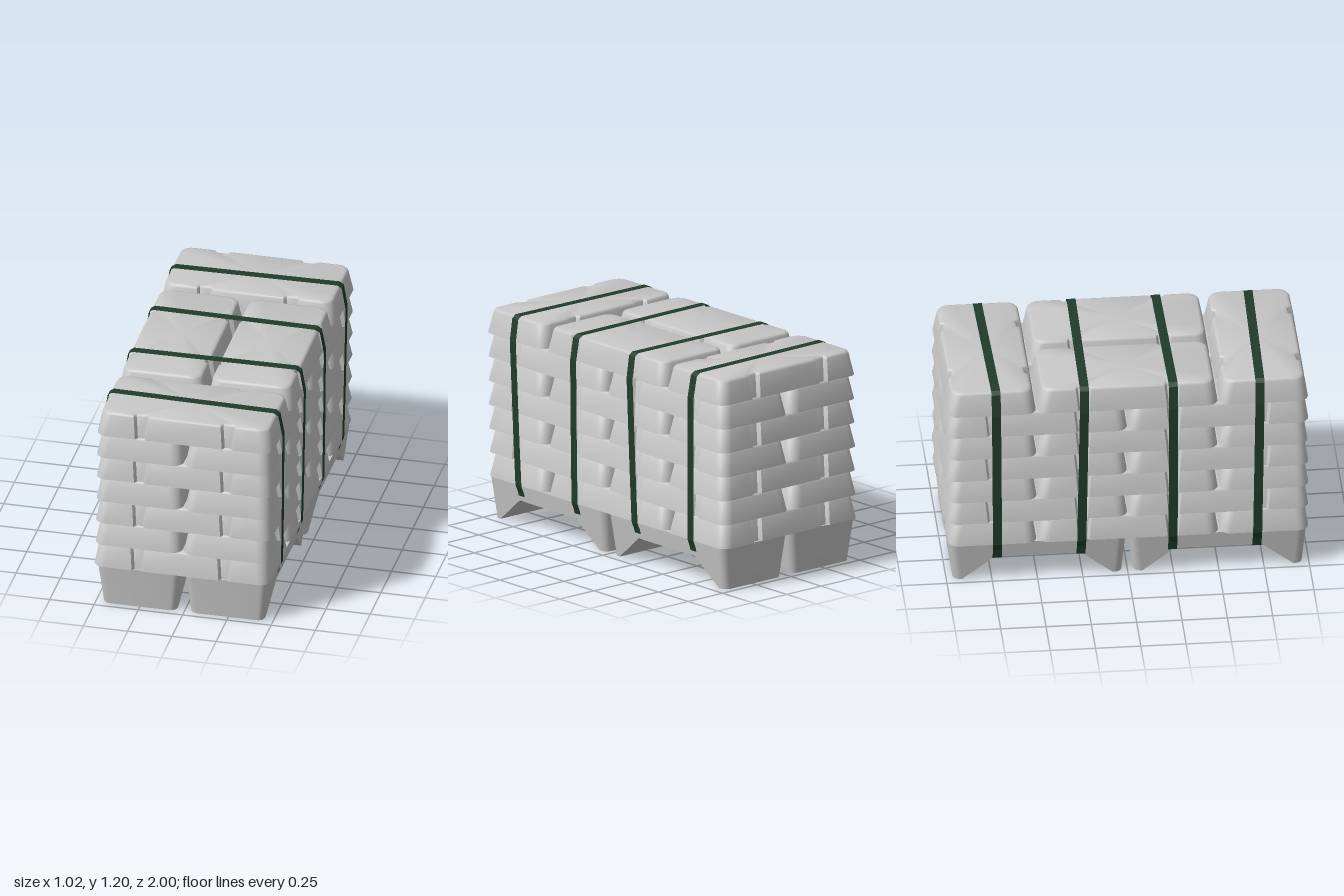
import * as THREE from 'three';
import { toCreasedNormals } from 'three/addons/utils/BufferGeometryUtils.js';

const metal = new THREE.MeshStandardMaterial({ color: 0xc6c6c6 });
metal.name = 'pale metal';
const green = new THREE.MeshStandardMaterial({ color: 0x1f3c2b, side: THREE.DoubleSide });
green.name = 'dark green strap';

// Closed skin over stacked rings of [x, y, z] points, with fan caps
function loft(rings, crease) {
  const pos = [];
  const tri = (...p) => p.forEach((v) => pos.push(...v));
  const n = rings[0].length;
  for (let k = 0; k + 1 < rings.length; k++) {
    for (let i = 0; i < n; i++) {
      const j = (i + 1) % n;
      const a = rings[k][i], b = rings[k][j], c = rings[k + 1][j], d = rings[k + 1][i];
      tri(a, d, b);
      tri(b, d, c);
    }
  }
  const mid = (r) => [0, 1, 2].map((m) => r.reduce((s, p) => s + p[m], 0) / n);
  const first = rings[0], last = rings[rings.length - 1];
  for (let i = 0; i < n; i++) {
    const j = (i + 1) % n;
    tri(mid(first), first[i], first[j]);
    tri(mid(last), last[j], last[i]);
  }
  const g = new THREE.BufferGeometry();
  g.setAttribute('position', new THREE.Float32BufferAttribute(pos, 3));
  return toCreasedNormals(g, crease);
}

// Tapered ingot, long in x, with two grip notches on each long side
function ingotGeometry() {
  const A = 0.497, B = 0.245, R = 0.06;
  const ring = (y, inset, flare) => {
    const a = A - inset, b = B - inset, out = [];
    const corner = (sx, sz, start) => {
      for (let i = 0; i <= 6; i++) {
        const t = start + (i / 6) * Math.PI / 2;
        out.push([sx * (a - R) + R * Math.cos(t), y, sz * (b - R) + R * Math.sin(t)]);
      }
    };
    const notches = (s) => {
      for (const c of [0.245, -0.245]) {
        for (const [dx, depth] of [[0.03 + flare, 0], [0.018 + flare, 0.022], [-0.018 - flare, 0.022], [-0.03 - flare, 0]]) {
          out.push([s * (c + dx), y, s * (b - depth)]);
        }
      }
    };
    corner(1, 1, 0);
    notches(1);
    corner(-1, 1, Math.PI / 2);
    corner(-1, -1, Math.PI);
    notches(-1);
    corner(1, -1, Math.PI * 1.5);
    return out;
  };
  return loft([
    ring(0, 0, 0), ring(0.122, 0.022, 0.012),
    ring(0.132, 0.028, 0.014), ring(0.137, 0.042, 0.016),
  ], 0.7);
}

// Foot block, long in z, arched underneath and narrowing downwards
function footGeometry() {
  const H = 0.24, L = 0.4875, W = 0.2375, R = 0.045;
  const zs = [];
  for (let i = 0; i <= 5; i++) zs.push(L - R + R * Math.cos((i / 5) * Math.PI / 2));
  zs.push(0.435, 0.24);
  const stations = [...zs.map((z) => -z), ...zs.reverse()];
  const rings = stations.map((z) => {
    const d = Math.max(0, Math.abs(z) - (L - R));
    const w = W - R + Math.sqrt(Math.max(0, R * R - d * d));
    const low = 0.147 * THREE.MathUtils.clamp((0.435 - Math.abs(z)) / 0.195, 0, 1);
    const p = (s, y) => [s * w * (0.875 + 0.125 * y / H), y, z * (0.955 + 0.045 * y / H)];
    return [p(1, H), p(1, low), p(-1, low), p(-1, H)];
  });
  return loft(rings, 0.6);
}

// Flat band wrapped round the stack; ends tuck under the foot blocks
function strapGeometry(zLow, zRight, zLeft) {
  const side = [
    [0.2, 0.143], [0.475, 0.143], [0.488, 0.2], [0.504, 0.24], [0.506, 0.5],
    [0.506, 0.78], [0.506, 1.06], [0.484, 1.185], [0.46, 1.202],
  ];
  const lean = (y) => -0.012 + 0.014 * Math.min(1, Math.max(0, (y - 0.2) / 0.86));
  const place = (s, [x, y]) => {
    const top = s > 0 ? zLeft : zRight;
    return [s * x + lean(y), y, zLow + (top - zLow) * (y - 0.143) / 1.06];
  };
  const path = [...side.map((p) => place(-1, p)), ...side.map((p) => place(1, p)).reverse()];
  const pos = [], index = [];
  path.forEach(([x, y, z], i) => {
    pos.push(x, y, z - 0.025, x, y, z + 0.025);
    const a = 2 * i;
    if (i) index.push(a - 2, a - 1, a, a - 1, a + 1, a);
  });
  const g = new THREE.BufferGeometry();
  g.setAttribute('position', new THREE.Float32BufferAttribute(pos, 3));
  g.setIndex(index);
  const flat = g.toNonIndexed();
  flat.computeVertexNormals();
  return flat;
}

export function createModel() {
  const model = new THREE.Group();
  model.name = 'ingotStack';
  let seed = 7;
  const jitter = (s) => {
    seed = (seed * 16807) % 2147483647;
    return (seed / 2147483647 - 0.5) * 2 * s;
  };

  // Four foot blocks
  const foot = footGeometry();
  for (const x of [-1, 1]) {
    for (const z of [-1, 1]) {
      const m = new THREE.Mesh(foot, metal);
      m.name = 'footBlock';
      m.position.set(x * 0.247 - 0.006, 0, z * 0.4975);
      model.add(m);
    }
  }

  // Seven layers alternating crosswise and lengthwise; [x, z, lengthwise]
  const layouts = [
    [[0, 0.75, 0], [0, -0.75, 0], [-0.25, 0, 1], [0.25, 0, 1]],
    [[-0.25, 0.5, 1], [0.25, 0.5, 1], [-0.25, -0.5, 1], [0.25, -0.5, 1]],
  ];
  const ingot = ingotGeometry();
  for (let k = 0; k < 7; k++) {
    const layer = new THREE.Group();
    layer.name = 'ingotLayer' + (k + 1);
    layer.position.set(-0.011 + 0.0022 * k, 0.24 + 0.137 * k, 0);
    for (const [x, z, along] of layouts[k % 2]) {
      const m = new THREE.Mesh(ingot, metal);
      m.name = 'ingot';
      m.position.set(x + jitter(0.002), 0, z + jitter(0.002));
      m.rotation.y = along * Math.PI / 2 + jitter(0.006);
      layer.add(m);
    }
    model.add(layer);
  }

  // Four straps: z at the bottom, top right and top left
  for (const z of [[0.71, 0.728, 0.748], [0.245, 0.25, 0.238], [-0.26, -0.24, -0.228], [-0.722, -0.728, -0.745]]) {
    const m = new THREE.Mesh(strapGeometry(...z), green);
    m.name = 'strap';
    model.add(m);
  }
  return model;
}
